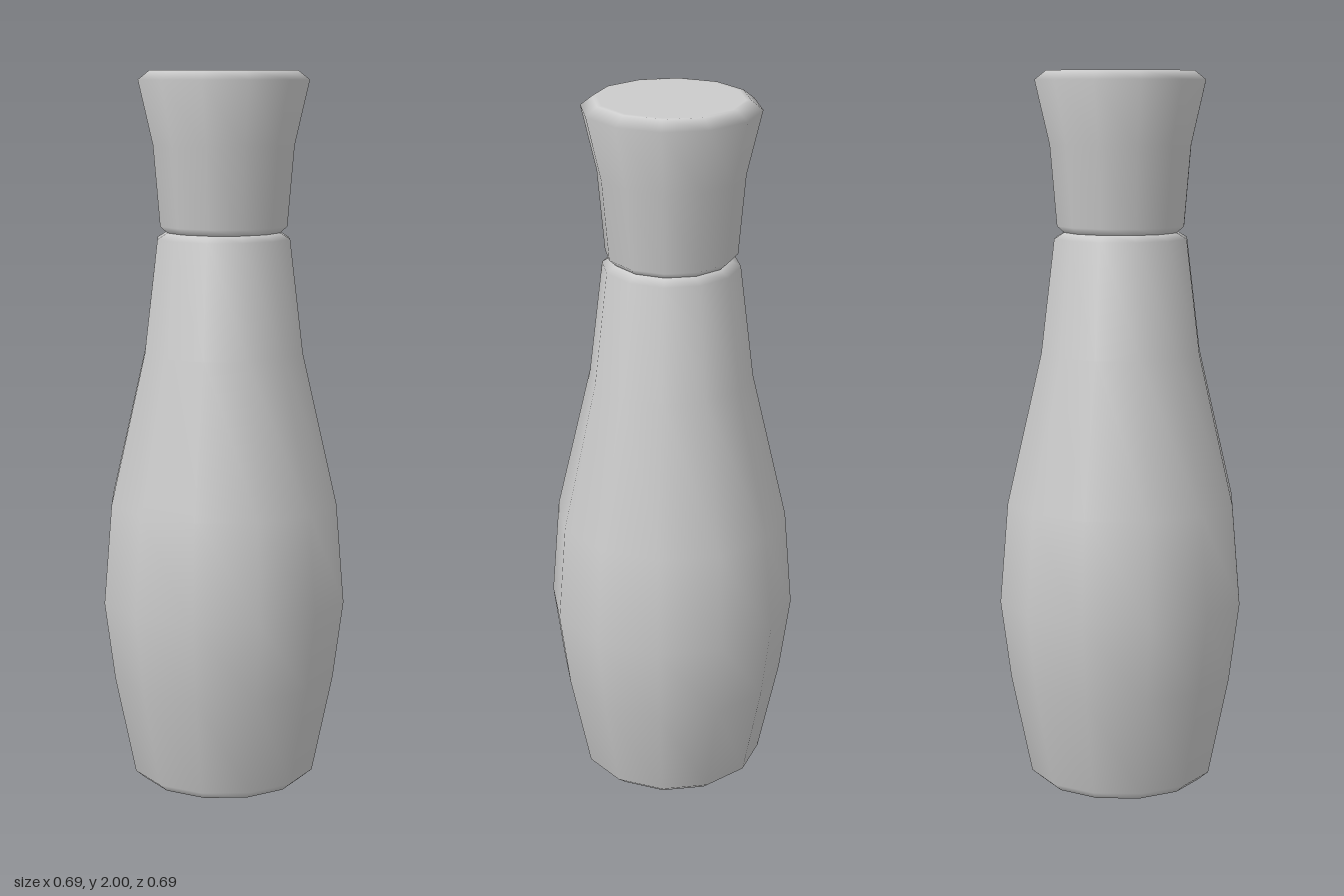
import * as THREE from 'three';

const SIDES = 12;

// Smooth-shaded revolved part from [radius, height] pairs, listed bottom to top
function turned(name, profile) {
  const points = profile.map(([r, y]) => new THREE.Vector2(r, y));
  const material = new THREE.MeshStandardMaterial({ color: 0xcccccc });
  const mesh = new THREE.Mesh(new THREE.LatheGeometry(points, SIDES), material);
  mesh.name = name;
  return mesh;
}

export function createModel() {
  const model = new THREE.Group();
  model.name = 'bottle';

  // Bulging body with a bevelled foot, narrowing to the neck groove
  model.add(turned('body', [
    [0, 0], [0.215, 0], [0.23, 0.005], [0.26, 0.03], [0.318, 0.31], [0.347, 0.53],
    [0.324, 0.81], [0.226, 1.23], [0.188, 1.545], [0.16, 1.562],
  ]));

  // Flared stopper with a bevelled rim and flat top
  model.add(turned('stopper', [
    [0.16, 1.562], [0.18, 1.58], [0.199, 1.8], [0.24, 1.975],
    [0.208, 2], [0.195, 2], [0, 2],
  ]));

  return model;
}
